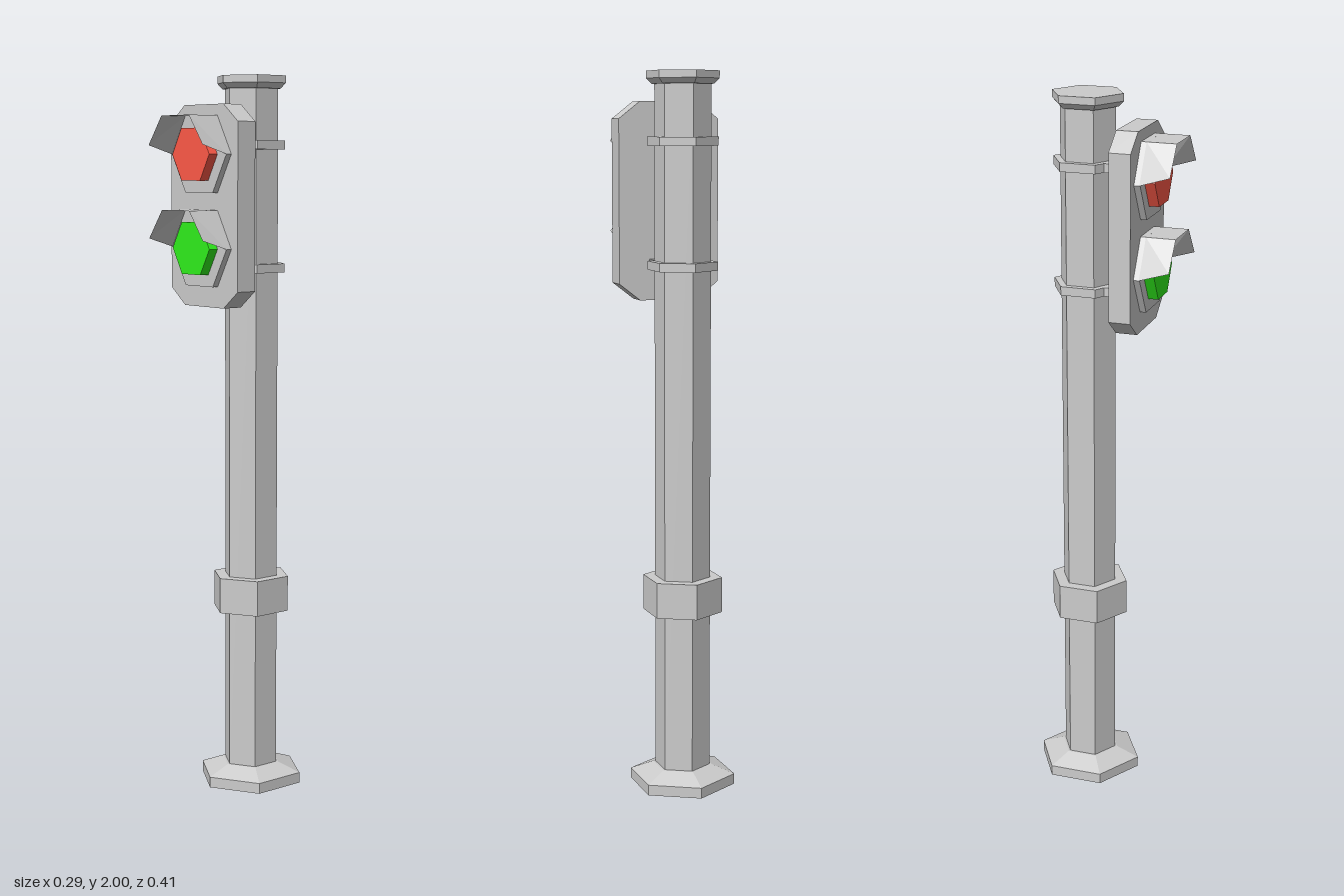
import * as THREE from 'three';

const POLE_Z = -0.057;

function material(color) {
  return new THREE.MeshStandardMaterial({ color, flatShading: true, side: THREE.DoubleSide });
}

export function createModel() {
  const model = new THREE.Group();
  model.name = 'trafficLight';
  const grey = material(0xcccccc);

  function add(name, geometry, mat = grey, parent = model) {
    const mesh = new THREE.Mesh(geometry, mat);
    mesh.name = name;
    parent.add(mesh);
    return mesh;
  }

  // Upright six-sided prism around the pole axis, between two heights
  function hexUpright(name, y0, y1, rBottom, rTop = rBottom) {
    const g = new THREE.CylinderGeometry(rTop, rBottom, y1 - y0, 6);
    add(name, g).position.set(0, (y0 + y1) / 2, POLE_Z);
  }

  // Six-sided disc facing the front, with corners at left and right
  function hexFacing(name, r, z0, z1, mat, parent) {
    const g = new THREE.CylinderGeometry(r, r, z1 - z0, 6);
    g.rotateY(Math.PI / 2).rotateX(Math.PI / 2);
    add(name, g, mat, parent).position.z = (z0 + z1) / 2;
  }

  // Foot, pole, collar and cap
  hexUpright('baseFoot', 0, 0.03, 0.15);
  hexUpright('baseSlope', 0.03, 0.055, 0.15, 0.085);
  hexUpright('pole', 0.05, 1.975, 0.078);
  hexUpright('collar', 0.505, 0.605, 0.112);
  hexUpright('capFlare', 1.965, 1.98, 0.085, 0.1);
  hexUpright('capTop', 1.98, 2, 0.1);

  // Clamps holding the housing to the pole
  for (const y of [1.813, 1.477]) {
    hexUpright('clampRing', y - 0.012, y + 0.012, 0.098);
    add('clampBracket', new THREE.BoxGeometry(0.116, 0.024, 0.06)).position.set(0, y, 0.025);
  }

  // Housing with cut corners
  const outline = [
    [0.085, 1.92], [-0.085, 1.92], [-0.146, 1.873], [-0.146, 1.422],
    [-0.085, 1.375], [0.085, 1.375], [0.146, 1.422], [0.146, 1.873],
  ].map(([x, y]) => new THREE.Vector2(x, y));
  const housing = new THREE.ExtrudeGeometry(new THREE.Shape(outline), { depth: 0.06, bevelEnabled: false });
  add('housing', housing).position.z = 0.05;

  // Thin hood: three panels, its lower front corners raised
  function hoodGeometry() {
    const back = [[-0.119, 0], [-0.06, 0.103], [0.06, 0.103], [0.119, 0]];
    const pos = [];
    const index = [];
    back.forEach(([x, y], i) => {
      pos.push(x, y, 0.125, x, y || 0.025, 0.207);
      if (i < 3) index.push(2 * i, 2 * i + 1, 2 * i + 2, 2 * i + 1, 2 * i + 3, 2 * i + 2);
    });
    const g = new THREE.BufferGeometry();
    g.setAttribute('position', new THREE.Float32BufferAttribute(pos, 3));
    g.setIndex(index);
    const flat = g.toNonIndexed();
    flat.computeVertexNormals();
    return flat;
  }

  // Lamps: rim, lens and hood
  for (const [name, y, color] of [['redLamp', 1.787, 0xff5a48], ['greenLamp', 1.535, 0x30f01c]]) {
    const lamp = new THREE.Group();
    lamp.name = name;
    lamp.position.y = y;
    model.add(lamp);
    hexFacing('rim', 0.119, 0.105, 0.127, grey, lamp);
    hexFacing('lens', 0.081, 0.12, 0.155, material(color), lamp);
    add('hood', hoodGeometry(), grey, lamp);
  }

  return model;
}
